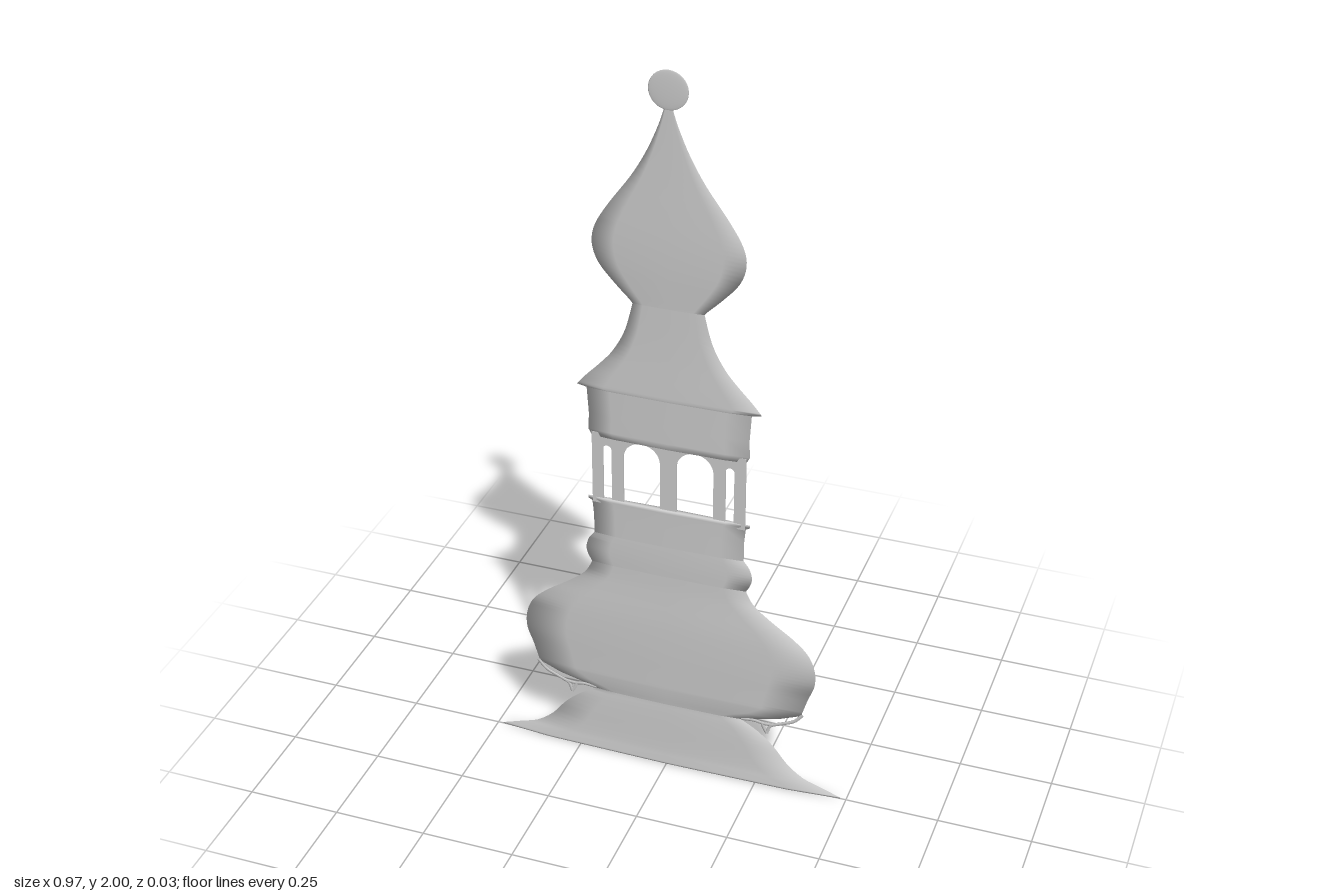
import * as THREE from 'three';

const DEPTH = 0.035; // the tower is pressed almost flat along z
const material = new THREE.MeshStandardMaterial({ color: 0xcccccc, side: THREE.DoubleSide });

function add(group, name, geometry) {
  const mesh = new THREE.Mesh(geometry, material);
  mesh.name = name;
  group.add(mesh);
  return mesh;
}

// Flattened eight-sided turning; the profile is [radius, y] from bottom to top
function turned(profile) {
  const g = new THREE.LatheGeometry(profile.map(([r, y]) => new THREE.Vector2(r, y)), 8);
  return g.scale(1, 1, DEPTH);
}

// Smooth version of a profile
function smooth(points, n = 36) {
  const curve = new THREE.SplineCurve(points.map(([r, y]) => new THREE.Vector2(r, y)));
  return curve.getPoints(n).map((p) => [Math.max(p.x, 0), p.y]);
}

// Round-headed window opening
function archHole(x0, x1, y0, top) {
  const r = (x1 - x0) / 2;
  const hole = new THREE.Path();
  hole.moveTo(x0, y0);
  hole.lineTo(x1, y0);
  hole.lineTo(x1, top - r);
  hole.absarc((x0 + x1) / 2, top - r, r, 0, Math.PI, false);
  hole.closePath();
  return hole;
}

export function createModel() {
  const model = new THREE.Group();
  model.name = 'onionDomeTower';

  // Flared base roof
  add(model, 'baseRoof', turned([[0, 0], [0.485, 0],
    ...smooth([[0.482, 0.004], [0.43, 0.022], [0.38, 0.04], [0.335, 0.075], [0.295, 0.125], [0.25, 0.165], [0.21, 0.188]], 18),
    [0.205, 0.195]]));

  // Large lower dome
  add(model, 'lowerDome', turned([[0.205, 0.192], [0.25, 0.205], [0.31, 0.22], [0.365, 0.243],
    ...smooth([[0.37, 0.25], [0.385, 0.3], [0.402, 0.35], [0.4, 0.4], [0.38, 0.445], [0.34, 0.483],
      [0.28, 0.525], [0.232, 0.565], [0.21, 0.605]])]));

  // Ring moulding and parapet under the windows
  add(model, 'ringMoulding', turned(smooth([[0.21, 0.602], [0.222, 0.625], [0.226, 0.648], [0.218, 0.675], [0.203, 0.695]], 12)));
  add(model, 'parapet', turned([[0.203, 0.69], [0.203, 0.75], [0.207, 0.792], [0.218, 0.798], [0.218, 0.806], [0, 0.806]]));

  // Thin arcade wall with two wide and two narrow arched openings
  const wall = new THREE.Shape();
  wall.moveTo(-0.205, 0.79);
  wall.lineTo(0.205, 0.79);
  wall.lineTo(0.205, 1.0);
  wall.lineTo(-0.205, 1.0);
  wall.closePath();
  wall.holes.push(
    archHole(-0.12, -0.022, 0.805, 0.987), archHole(0.022, 0.12, 0.805, 0.987),
    archHole(-0.175, -0.152, 0.805, 0.965), archHole(0.152, 0.175, 0.805, 0.965));
  const wallGeometry = new THREE.ExtrudeGeometry(wall, { depth: 0.004, bevelEnabled: false, curveSegments: 16 });
  add(model, 'arcadeWall', wallGeometry.translate(0, 0, -0.002));

  // Frieze over the windows and the eave above it
  add(model, 'frieze', turned([[0, 0.988], [0.205, 0.988], [0.214, 1.005], [0.212, 1.05], [0.217, 1.13]]));
  add(model, 'upperRoof', turned([[0.217, 1.125], [0.242, 1.13],
    ...smooth([[0.238, 1.136], [0.215, 1.163], [0.18, 1.2], [0.145, 1.243], [0.113, 1.305], [0.092, 1.385]], 20)]));

  // Onion dome tapering to the spire
  add(model, 'onionDome', turned([[0.092, 1.382],
    ...smooth([[0.1, 1.392], [0.14, 1.432], [0.18, 1.48], [0.196, 1.53], [0.187, 1.58], [0.152, 1.64],
      [0.095, 1.72], [0.055, 1.79], [0.025, 1.86], [0.009, 1.91]])]));

  // Finial disc
  const finial = new THREE.SphereGeometry(0.05, 28, 16).scale(1, 1, 0.06);
  add(model, 'finial', finial.translate(0, 1.95, 0));

  // Thin scroll brackets below the lower dome
  for (const side of [-1, 1]) {
    const bracket = new THREE.Group();
    bracket.name = side > 0 ? 'leftBracket' : 'rightBracket';
    const wires = {
      strut: [[0.372, 0.247], [0.35, 0.222], [0.315, 0.205], [0.285, 0.19], [0.276, 0.165]],
      tie: [[0.205, 0.195], [0.24, 0.198], [0.27, 0.194], [0.3, 0.197]],
      curl: [[0.276, 0.165], [0.268, 0.18], [0.262, 0.196]],
    };
    for (const [name, pts] of Object.entries(wires)) {
      const path = new THREE.CatmullRomCurve3(pts.map(([x, y]) => new THREE.Vector3(side * x, y, 0)));
      add(bracket, name, new THREE.TubeGeometry(path, 14, 0.005, 6).scale(1, 1, 0.4));
    }
    model.add(bracket);
  }
  return model;
}
